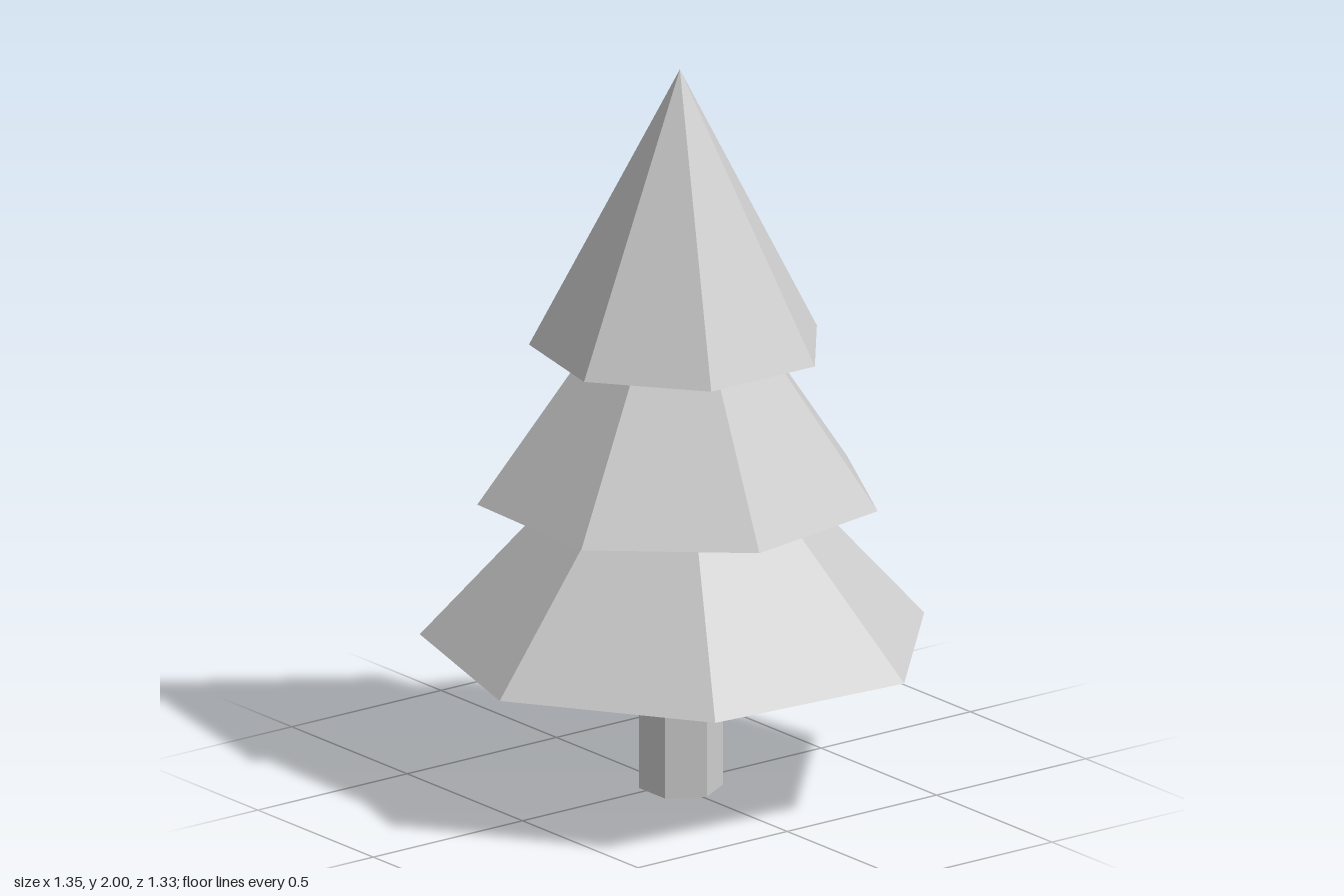
import * as THREE from 'three';

export function createModel() {
  const tree = new THREE.Group();
  tree.name = 'pineTree';

  const lightGrey = new THREE.MeshStandardMaterial({ color: 0xcccccc, flatShading: true });
  lightGrey.name = 'lightGrey';

  // All parts share one vertical axis, slightly off the origin
  const axisX = 0.01, axisZ = 0.022;

  function add(name, geometry, baseY, height, z = axisZ) {
    const mesh = new THREE.Mesh(geometry, lightGrey);
    mesh.name = name;
    mesh.position.set(axisX, baseY + height / 2, z);
    tree.add(mesh);
  }

  // Six-sided trunk, its top tucked into the lowest tier
  const trunkHeight = 0.42;
  add('trunk', new THREE.CylinderGeometry(0.112, 0.112, trunkHeight, 6), 0, trunkHeight, 0.027);

  // Three overlapping seven-sided cones, each twisted differently
  const tierHeight = 0.77;
  const tiers = [
    { name: 'lowerFoliage', radius: 0.692, baseY: 0.403, turn: 175.8 },
    { name: 'middleFoliage', radius: 0.545, baseY: 0.816, turn: 87.9 },
    { name: 'topFoliage', radius: 0.4, baseY: 1.23, turn: 180 },
  ];
  for (const { name, radius, baseY, turn } of tiers) {
    const cone = new THREE.ConeGeometry(radius, tierHeight, 7, 1, false, THREE.MathUtils.degToRad(turn));
    add(name, cone, baseY, tierHeight);
  }

  return tree;
}
